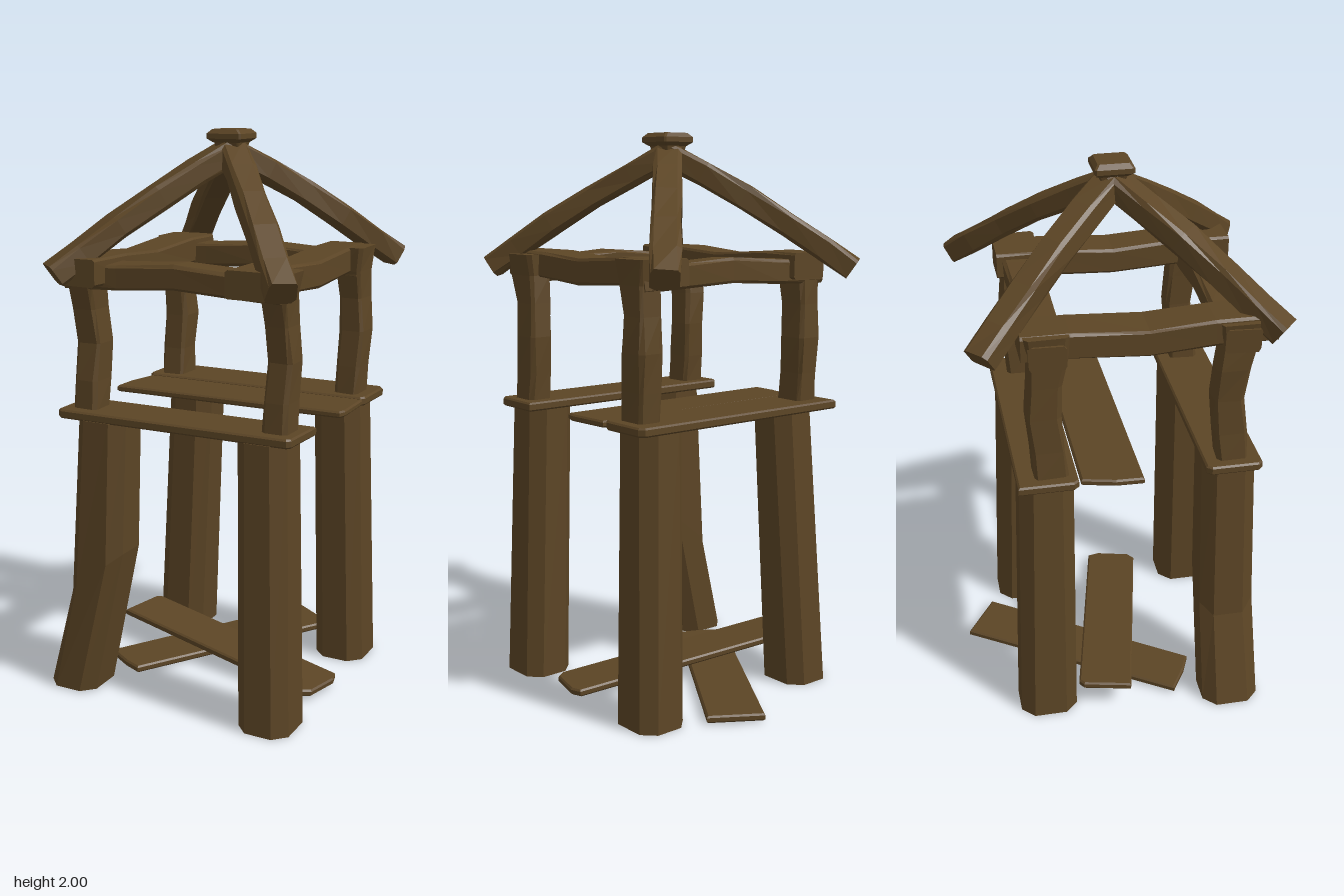
import * as THREE from 'three';

const wood = new THREE.MeshStandardMaterial({ color: 0x5c4525 });
wood.name = 'weathered brown wood';
const V = (x, y, z) => new THREE.Vector3(x, y, z);

// Small seeded generator for hewn unevenness
let seed = 7;
const jitter = (a) => {
  seed = (seed * 16807) % 2147483647;
  return (seed / 2147483647 - 0.5) * 2 * a;
};

// Chamfered rectangle, counter-clockwise, as [u, v] pairs
function chamfered(w, h, c) {
  const a = w / 2, b = h / 2;
  return [[a, -b + c], [a, b - c], [a - c, b], [-a + c, b],
    [-a, b - c], [-a, -b + c], [-a + c, -b], [a - c, -b]];
}

// Closed faceted solid through rings of equal point count
function loft(name, rings) {
  const n = rings[0].length, pos = [];
  const tri = (...pts) => pts.forEach((p) => pos.push(p.x, p.y, p.z));
  for (let i = 0; i < rings.length - 1; i++) {
    for (let j = 0; j < n; j++) {
      const k = (j + 1) % n, A = rings[i], B = rings[i + 1];
      tri(A[j], A[k], B[k]);
      tri(A[j], B[k], B[j]);
    }
  }
  const last = rings[rings.length - 1];
  for (let j = 1; j < n - 1; j++) {
    tri(rings[0][0], rings[0][j + 1], rings[0][j]);
    tri(last[0], last[j], last[j + 1]);
  }
  const geo = new THREE.BufferGeometry();
  geo.setAttribute('position', new THREE.Float32BufferAttribute(pos, 3));
  geo.computeVertexNormals();
  const mesh = new THREE.Mesh(geo, wood);
  mesh.name = name;
  return mesh;
}

// Upright timber: sections are [x, y, z, width, depth, tilt of the cut along x]
function upright(name, sections, c, rough = 0) {
  return loft(name, sections.map(([x, y, z, w, d, tilt = 0]) =>
    chamfered(w, d, c).map(([u, v]) =>
      V(x + u + jitter(rough), y + u * tilt, z - v + jitter(rough)))));
}

// Lying or sloping timber swept along a path
function timber(name, path, w, h, c, rough = 0) {
  const rings = path.map((p, i) => {
    const dir = path[Math.min(i + 1, path.length - 1)].clone()
      .sub(path[Math.max(i - 1, 0)]).normalize();
    const side = dir.clone().cross(V(0, 1, 0)).normalize();
    const up = side.clone().cross(dir);
    return chamfered(w, h, c).map(([u, v]) => p.clone()
      .addScaledVector(side, u + jitter(rough))
      .addScaledVector(up, v + jitter(rough)));
  });
  // side x up points backwards along the path, so reverse the ring order
  return loft(name, rings.reverse().map((r) => r)).name === name
    ? loft(name, rings) : null;
}

// Flat board from a plan outline of [x, z] points
function board(name, outline, y, t) {
  const shape = new THREE.Shape(outline.map(([x, z]) => new THREE.Vector2(x, -z)));
  const b = 0.006;
  const geo = new THREE.ExtrudeGeometry(shape, {
    depth: t - 2 * b, bevelEnabled: true, bevelThickness: b,
    bevelSize: b, bevelOffset: -b, bevelSegments: 1,
  });
  geo.rotateX(-Math.PI / 2).translate(0, b, 0);
  const mesh = new THREE.Mesh(geo, wood);
  mesh.name = name;
  mesh.position.y = y;
  return mesh;
}

export function createModel() {
  const g = new THREE.Group();
  g.name = 'timberTower';

  // Lower legs, one of them buckled outwards
  const leg = (name, x0, x1, z0, z1) => g.add(upright(name,
    [[x0, 0, z0, 0.19, 0.21], [x1, 1.02, z1, 0.18, 0.19]], 0.045));
  leg('frontLeftLeg', 0.365, 0.34, 0.38, 0.36);
  leg('backLeftLeg', 0.365, 0.34, -0.303, -0.28);
  leg('backRightLeg', -0.33, -0.27, -0.303, -0.28);
  g.add(upright('buckledLeg', [
    [-0.405, 0.004, 0.38, 0.19, 0.21],
    [-0.302, 0.455, 0.37, 0.215, 0.2, 0.8],
    [-0.275, 1.02, 0.36, 0.19, 0.19],
  ], 0.045));

  // Platform boards
  g.add(board('frontBoard', [[-0.435, 0.275], [-0.42, 0.257], [0.465, 0.257],
    [0.458, 0.44], [0.445, 0.455], [-0.42, 0.455], [-0.435, 0.44]], 1.018, 0.032));
  g.add(board('backBoard', [[-0.435, -0.39], [0.45, -0.39], [0.465, -0.37],
    [0.462, -0.2], [0.45, -0.18], [-0.42, -0.183], [-0.435, -0.2]], 1.018, 0.032));
  g.add(board('middleBoard', [[-0.415, -0.175], [0.46, -0.175], [0.465, 0],
    [0.455, 0.03], [-0.445, 0.037], [-0.442, -0.06]], 1.022, 0.024));

  // Fallen boards at the foot
  const flat = board('fallenBoard', [[0.065, -0.56], [0.235, -0.45],
    [-0.24, 0.265], [-0.31, 0.235], [-0.405, 0.175]], 0.006, 0.026);
  g.add(flat);
  const leaning = board('leaningBoard', [[-0.45, -0.08], [-0.43, -0.1], [0.43, -0.1],
    [0.45, -0.06], [0.445, 0.07], [0.42, 0.095], [-0.45, 0.095]], -0.012, 0.026);
  const tipped = new THREE.Group();
  tipped.name = 'leaningBoardPivot';
  leaning.rotation.set(0, 0, -0.09);
  tipped.add(leaning);
  tipped.rotation.y = -0.215;
  tipped.position.set(0.005, 0.068, 0);
  g.add(tipped);

  // Crooked upper posts
  for (const [side, x] of [['Left', 0.378], ['Right', -0.35]]) {
    g.add(upright('front' + side + 'Post', [
      [x, 1.04, 0.358, 0.09, 0.105], [x, 1.15, 0.35, 0.09, 0.11],
      [x + 0.006, 1.28, 0.336, 0.09, 0.1], [x, 1.4, 0.346, 0.088, 0.11],
      [x, 1.5, 0.364, 0.09, 0.125], [x + Math.sign(x) * 0.005, 1.575, 0.36, 0.1, 0.135],
    ], 0.012, 0.004));
    g.add(upright('back' + side + 'Post', [
      [x, 1.04, -0.27, 0.09, 0.115], [x, 1.15, -0.28, 0.09, 0.115],
      [x + 0.006, 1.28, -0.291, 0.09, 0.115], [x, 1.4, -0.285, 0.088, 0.11],
      [x, 1.5, -0.272, 0.09, 0.13], [x + Math.sign(x) * 0.005, 1.585, -0.278, 0.1, 0.145],
    ], 0.012, 0.004));
  }

  // Ring beams under the roof: side pair dips, front and back pair rises
  for (const [name, x] of [['leftBeam', 0.315], ['rightBeam', -0.315]]) {
    g.add(timber(name, [V(x, 1.54, 0.49), V(x, 1.54, 0.28), V(x, 1.525, 0.06),
      V(x, 1.54, -0.2), V(x, 1.54, -0.36)], 0.145, 0.092, 0.008, 0.002));
  }
  for (const [name, z] of [['frontBeam', 0.365], ['backBeam', -0.275]]) {
    g.add(timber(name, [V(-0.41, 1.517, z), V(-0.2, 1.522, z), V(0.02, 1.536, z),
      V(0.22, 1.524, z), V(0.41, 1.517, z)], 0.125, 0.084, 0.01, 0.003));
  }

  // Hip rafters meeting at the peak
  const apex = V(0.025, 1.925, 0.01);
  const ends = { backRight: [-0.4, -0.49], backLeft: [0.45, -0.49],
    frontRight: [-0.395, 0.505], frontLeft: [0.448, 0.505] };
  for (const [name, [x, z]] of Object.entries(ends)) {
    const foot = V(x, 1.53, z);
    const path = [0, 0.2, 0.42, 0.65, 0.85, 1].map((t) => {
      const p = apex.clone().lerp(foot, t);
      p.y += 0.018 * Math.sin(Math.PI * t);
      return p;
    });
    g.add(timber(name + 'Rafter', path, 0.098, 0.082, 0.012, 0.004));
  }

  // Peak cap and the block below it
  g.add(upright('peakBlock', [[0.025, 1.885, 0.01, 0.06, 0.06],
    [0.025, 1.965, 0.01, 0.1, 0.1]], 0.005));
  g.add(upright('peakCap', [[0.025, 1.955, 0.012, 0.1, 0.1],
    [0.025, 1.968, 0.012, 0.132, 0.134], [0.025, 1.985, 0.012, 0.132, 0.134],
    [0.025, 2, 0.012, 0.1, 0.11]], 0.006));
  return g;
}
